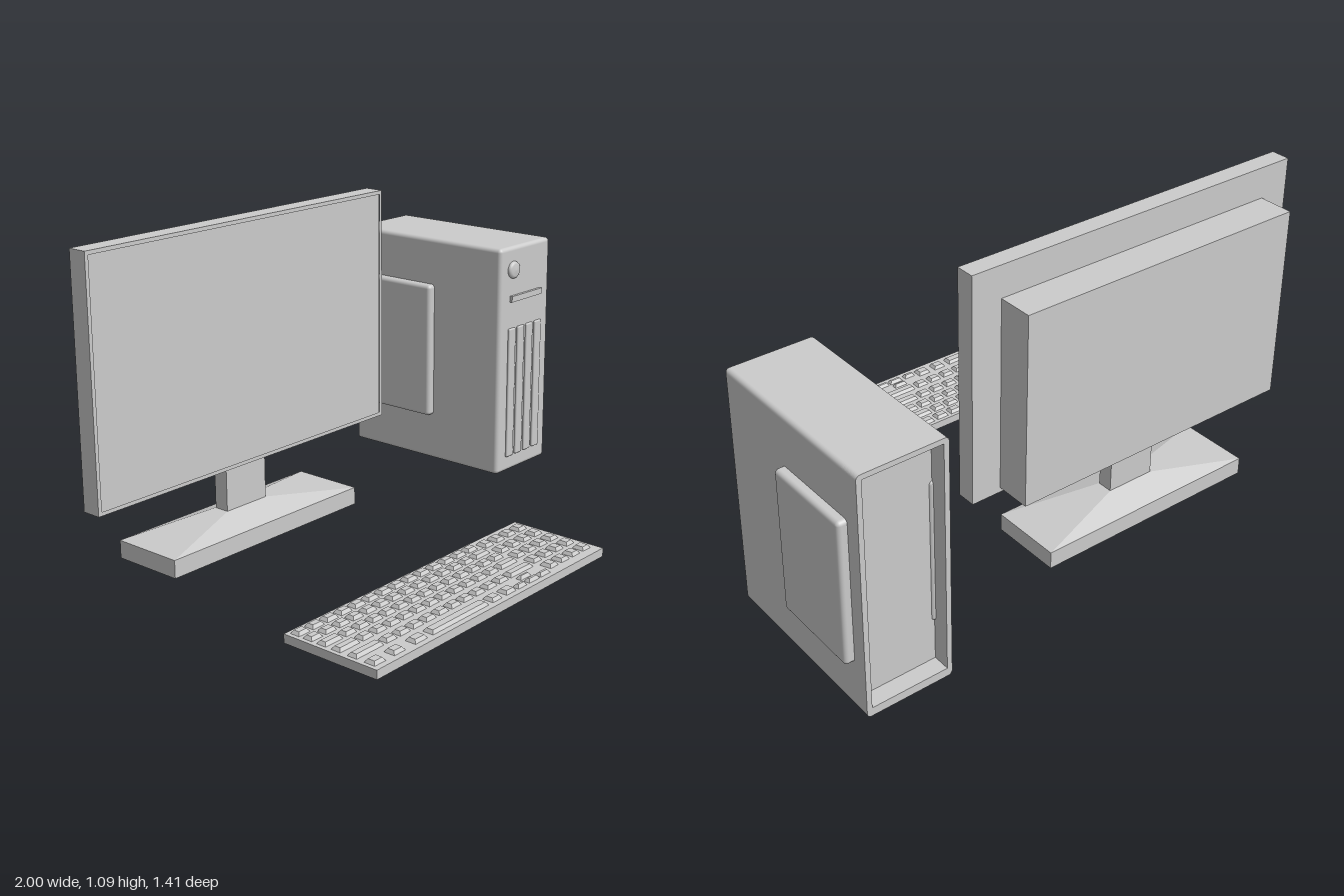
import * as THREE from 'three';
import { RoundedBoxGeometry } from 'three/addons/geometries/RoundedBoxGeometry.js';

const grey = new THREE.MeshStandardMaterial({ color: 0xcccccc });

function add(parent, name, geometry, x = 0, y = 0, z = 0) {
  const mesh = new THREE.Mesh(geometry, grey);
  mesh.name = name;
  mesh.position.set(x, y, z);
  parent.add(mesh);
  return mesh;
}

function group(parent, name) {
  const g = new THREE.Group();
  g.name = name;
  parent.add(g);
  return g;
}

// Box given by its lower and upper limits on each axis
function box(parent, name, [x0, x1], [y0, y1], [z0, z1], radius = 0) {
  const size = [x1 - x0, y1 - y0, z1 - z0];
  const geometry = radius ? new RoundedBoxGeometry(...size, 3, radius) : new THREE.BoxGeometry(...size);
  return add(parent, name, geometry, (x0 + x1) / 2, (y0 + y1) / 2, (z0 + z1) / 2);
}

// Block whose top face is a smaller rectangle, shifted by dz
function taperedBlock(w, h, d, topW, topD, dz = 0) {
  const g = new THREE.BoxGeometry(w, h, d);
  const p = g.attributes.position;
  for (let i = 0; i < p.count; i++) {
    if (p.getY(i) > 0) {
      p.setX(i, p.getX(i) * topW / w);
      p.setZ(i, p.getZ(i) * topD / d + dz);
    }
  }
  g.computeVertexNormals();
  return g;
}

// Rectangle outline, with rounded corners when r > 0
function rectangle(path, x0, x1, y0, y1, r = 0) {
  if (!r) {
    path.moveTo(x0, y0).lineTo(x0, y1).lineTo(x1, y1).lineTo(x1, y0).closePath();
    return path;
  }
  path.moveTo(x0 + r, y0);
  path.absarc(x1 - r, y0 + r, r, -Math.PI / 2, 0);
  path.absarc(x1 - r, y1 - r, r, 0, Math.PI / 2);
  path.absarc(x0 + r, y1 - r, r, Math.PI / 2, Math.PI);
  path.absarc(x0 + r, y0 + r, r, Math.PI, Math.PI * 1.5);
  path.closePath();
  return path;
}

// Extruded border with a rectangular opening
function frame([x0, x1], [y0, y1], depth, side, bottom, r = 0) {
  const shape = rectangle(new THREE.Shape(), x0, x1, y0, y1, r);
  shape.holes.push(rectangle(new THREE.Path(), x0 + side, x1 - side, y0 + bottom, y1 - side));
  return new THREE.ExtrudeGeometry(shape, { depth, bevelEnabled: false, curveSegments: 4 });
}

function buildMonitor(parent) {
  const monitor = group(parent, 'monitor');
  const X = [-1, 0.32], Y = [0.27, 1.09];
  box(monitor, 'screenPanel', X, Y, [-0.363, -0.308]);
  add(monitor, 'screenBezel', frame(X, Y, 0.013, 0.013, 0.013), 0, 0, -0.308);
  box(monitor, 'rearHousing', [-0.89, 0.21], [0.287, 0.977], [-0.49, -0.363]);

  // Stand: neck on a low base with a hipped top
  box(monitor, 'standNeck', [-0.412, -0.23], [0.09, 0.287], [-0.405, -0.35]);
  box(monitor, 'standBase', [-0.75, 0.11], [0, 0.062], [-0.503, -0.243]);
  add(monitor, 'standBaseTop', taperedBlock(0.86, 0.038, 0.26, 0.184, 0.057, -0.005), -0.32, 0.081, -0.373);
}

function buildTower(parent) {
  const tower = group(parent, 'tower');
  const X = [0.66, 0.965], Y = [0.005, 0.86];
  box(tower, 'towerCase', X, Y, [-0.645, -0.025], 0.015);
  add(tower, 'rearFrame', frame(X, Y, 0.075, 0.018, 0.03, 0.015), 0, 0, -0.705);

  // Raised panels on both sides
  box(tower, 'rightSidePanel', [0.63, 0.69], [0.18, 0.687], [-0.652, -0.327], 0.014);
  box(tower, 'leftSidePanel', [0.937, 0.997], [0.18, 0.687], [-0.652, -0.327], 0.014);

  // Front controls and ribs
  const profile = [[0.032, 0], [0.032, 0.006], [0.029, 0.011], [0.022, 0.014], [0, 0.016]];
  const button = new THREE.LatheGeometry(profile.map(([r, h]) => new THREE.Vector2(r, h)), 24);
  add(tower, 'powerButton', button, 0.737, 0.775, -0.026).rotation.x = Math.PI / 2;
  box(tower, 'driveSlot', [0.72, 0.906], [0.657, 0.679], [-0.035, -0.014]);
  for (let i = 0; i < 4; i++) {
    const x = 0.713 + i * 0.0535;
    box(tower, 'frontRib', [x, x + 0.04], [0.063, 0.557], [-0.035, -0.017], 0.005);
  }
}

function buildKeyboard(parent) {
  const keyboard = group(parent, 'keyboard');
  box(keyboard, 'keyboardBody', [-0.877, 0.252], [0.012, 0.041], [0.353, 0.705]);

  function key(x0, x1, z, depth = 0.036) {
    const w = x1 - x0;
    add(keyboard, 'key', taperedBlock(w, 0.012, depth, w - 0.016, depth - 0.016), (x0 + x1) / 2, 0.046, z);
  }

  // Main rows: z, number of keys, width of first and last key
  const left = -0.864, right = -0.018, gap = 0.012;
  const rows = [
    [0.383, 14, 0.048, 0.048],
    [0.433, 14, 0.048, 0.072],
    [0.486, 14, 0.075, 0.048],
    [0.541, 13, 0.086, 0.086],
    [0.602, 12, 0.118, 0.118],
  ];
  for (const [z, n, first, last] of rows) {
    const pitch = (right - left - first - last - gap) / (n - 2);
    key(left, left + first, z);
    for (let i = 0; i < n - 2; i++) {
      const x = left + first + gap + i * pitch;
      key(x, x + pitch - gap, z);
    }
    key(right - last, right, z);
  }

  // Bottom row with space bar and arrow keys
  const bottom = [[-0.864, -0.815], [-0.78, -0.73], [-0.687, -0.63], [-0.607, -0.34], [-0.32, -0.272], [-0.25, -0.2]];
  for (const [x0, x1] of bottom) key(x0, x1, 0.666, 0.04);
  key(-0.19, -0.145, 0.675, 0.024);
  key(-0.132, -0.078, 0.644, 0.022);
  key(-0.132, -0.078, 0.675, 0.024);
  key(-0.072, -0.02, 0.675, 0.024);

  // Number pad
  for (let r = 0; r < 5; r++) {
    for (let c = 0; c < 4; c++) {
      const x = 0.003 + c * 0.061;
      key(x, x + 0.044, 0.396 + r * 0.0635, 0.044);
    }
  }
}

export function createModel() {
  const model = new THREE.Group();
  model.name = 'desktopComputer';
  buildMonitor(model);
  buildTower(model);
  buildKeyboard(model);
  return model;
}
